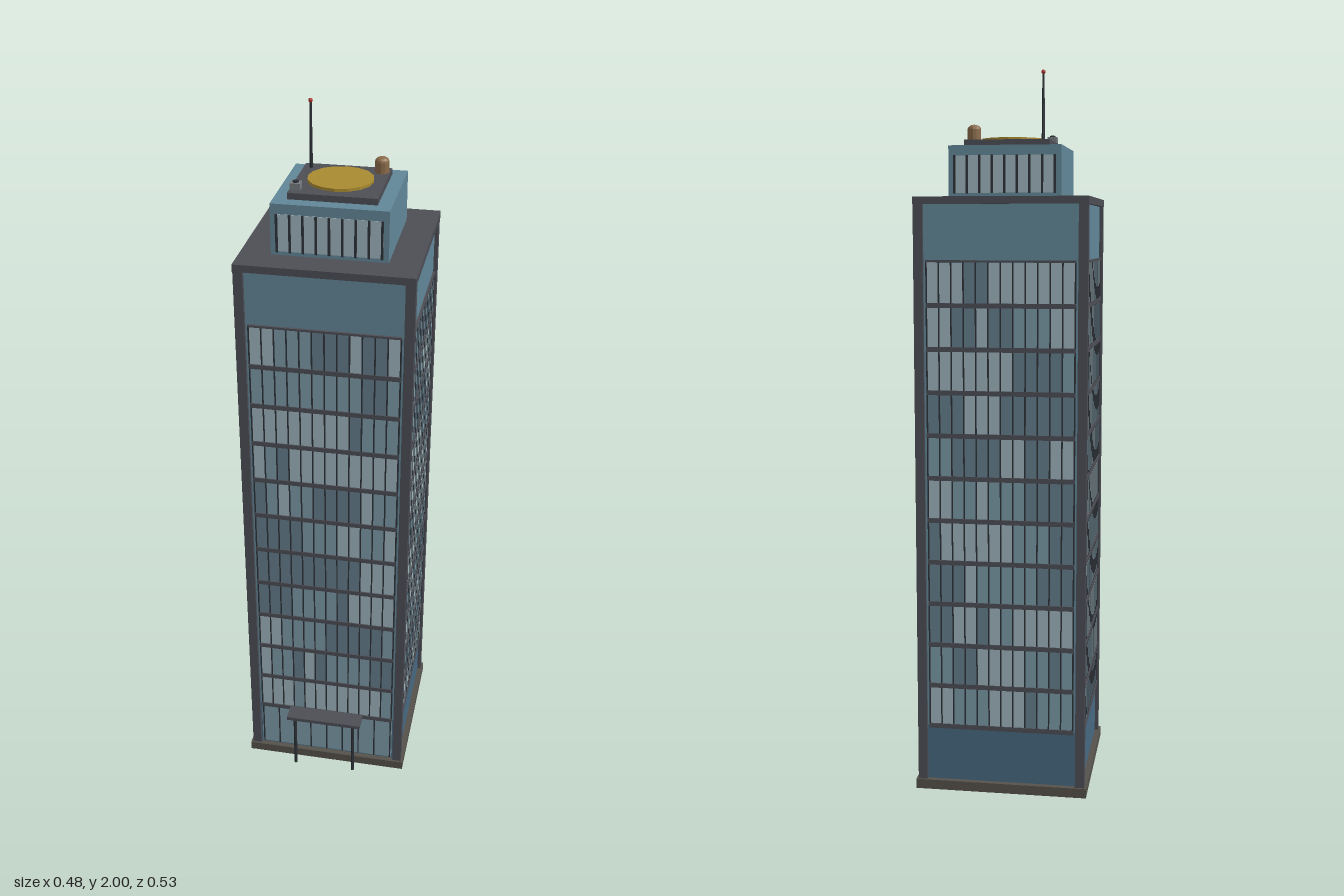
import * as THREE from 'three';
import { mergeGeometries } from 'three/addons/utils/BufferGeometryUtils.js';

const CZ = -0.022; // tower axis, set back to leave room for the canopy

const mat = (color) => new THREE.MeshStandardMaterial({ color, flatShading: true });
const mats = {
  frame: mat(0x4c4e55), dark: mat(0x2c3036), stone: mat(0x55514b), glass: mat(0x628798),
  lobby: mat(0x466880), pad: mat(0xa88a30), wood: mat(0x8a6b4a), red: mat(0xb03028), vent: mat(0x777b80),
};
const paneMats = [mat(0x9db4bc), mat(0x7b9aa7), mat(0x637d8b)];

// Box geometry given by size and centre
const boxGeo = (w, h, d, x, y, z) => new THREE.BoxGeometry(w, h, d).translate(x, y, z);

function add(parent, name, geometry, material) {
  const mesh = new THREE.Mesh(geometry, material);
  mesh.name = name;
  parent.add(mesh);
  return mesh;
}

// Small seeded generator for the pane tints
function seeded(seed) {
  let s = seed;
  return () => (s = (s * 16807) % 2147483647) / 2147483647;
}

// One curtain wall, built facing +z around the tower axis
function createFacade(seed, isFront) {
  const facade = new THREE.Group();
  facade.name = 'facade';
  const rows = 11, cols = 12, y0 = 0.185, rowH = 0.1184, width = 0.404, colW = width / cols;
  const rand = seeded(seed);
  const panes = [[], [], []], mullions = [], bands = [];

  for (let r = 0; r < rows; r++) {
    let tone = 0;
    for (let c = 0; c < cols; c++) {
      // neighbouring panes often share a tint
      if (c === 0 || rand() < 0.45) tone = Math.floor(rand() * 3);
      const x = -width / 2 + (c + 0.5) * colW;
      panes[tone].push(boxGeo(colW - 0.004, rowH - 0.008, 0.004, x, y0 + (r + 0.5) * rowH, 0.2275));
    }
  }
  for (let c = 0; c <= cols; c++) {
    mullions.push(boxGeo(0.004, rows * rowH, 0.005, -width / 2 + c * colW, y0 + rows * rowH / 2, 0.2285));
  }
  for (let r = 0; r <= rows; r++) {
    bands.push(boxGeo(width + 0.004, r === rows ? 0.006 : 0.013, 0.007, 0, y0 + r * rowH, 0.2295));
  }
  panes.forEach((list, i) => add(facade, 'windowPanes', mergeGeometries(list), paneMats[i]));
  add(facade, 'mullions', mergeGeometries(mullions), mats.dark);
  add(facade, 'floorBands', mergeGeometries(bands), mats.frame);

  // Entrance glazing
  if (isFront) {
    add(facade, 'lobbyGlass', boxGeo(0.41, 0.145, 0.003, 0, 0.105, 0.2275), paneMats[1]);
    const bars = [];
    for (let i = 0; i <= 8; i++) bars.push(boxGeo(0.004, 0.145, 0.005, -0.2 + i * 0.05, 0.105, 0.2285));
    add(facade, 'lobbyMullions', mergeGeometries(bars), mats.dark);
  }
  return facade;
}

function createPenthouse() {
  const penthouse = new THREE.Group();
  penthouse.name = 'penthouse';
  add(penthouse, 'penthouseBody', boxGeo(0.308, 0.14, 0.308, 0, 1.727, 0), mats.glass);
  for (const side of [1, -1]) {
    const fins = [];
    for (let i = -4; i <= 4; i++) fins.push(boxGeo(0.006, 0.102, 0.004, i * 0.0342, 1.72, side * 0.159));
    add(penthouse, 'penthouseFins', mergeGeometries(fins), mats.dark);
    add(penthouse, 'penthouseGlass', boxGeo(0.28, 0.1, 0.002, 0, 1.72, side * 0.1545), paneMats[0]);
  }
  return penthouse;
}

function createRooftop() {
  const roof = new THREE.Group();
  roof.name = 'rooftop';
  add(roof, 'padDeck', boxGeo(0.234, 0.017, 0.234, 0, 1.8055, 0), mats.frame);
  add(roof, 'landingPad', new THREE.CylinderGeometry(0.0875, 0.0875, 0.008, 16).translate(0, 1.818, 0), mats.pad);

  // Water tank with a domed lid
  const tank = new THREE.Group();
  tank.name = 'waterTank';
  tank.position.set(0.095, 1.81, -0.083);
  add(tank, 'tankBody', new THREE.CylinderGeometry(0.019, 0.019, 0.034, 12).translate(0, 0.017, 0), mats.wood);
  add(tank, 'tankLid', new THREE.SphereGeometry(0.019, 12, 4, 0, Math.PI * 2, 0, Math.PI / 2)
    .scale(1, 0.65, 1).translate(0, 0.034, 0), mats.wood);
  roof.add(tank);

  // Antenna mast with a warning light
  add(roof, 'antenna', new THREE.CylinderGeometry(0.003, 0.0045, 0.182, 8).translate(-0.096, 1.903, -0.084), mats.dark);
  add(roof, 'warningLight', new THREE.SphereGeometry(0.006, 8, 6).translate(-0.096, 1.994, -0.084), mats.red);

  // Ventilation unit
  add(roof, 'ventBox', boxGeo(0.027, 0.02, 0.027, -0.101, 1.822, 0.083), mats.vent);
  add(roof, 'ventFan', new THREE.CylinderGeometry(0.008, 0.008, 0.004, 10).translate(-0.101, 1.834, 0.083), mats.dark);
  return roof;
}

function createCanopy() {
  const canopy = new THREE.Group();
  canopy.name = 'entranceCanopy';
  add(canopy, 'canopyRoof', boxGeo(0.226, 0.011, 0.058, 0, 0.187, 0.233), mats.frame);
  for (const side of [1, -1]) {
    add(canopy, 'canopyPost', new THREE.CylinderGeometry(0.005, 0.005, 0.183, 8)
      .translate(side * 0.09, 0.0915, 0.25), mats.dark);
  }
  return canopy;
}

export function createModel() {
  const model = new THREE.Group();
  model.name = 'officeTower';

  const tower = new THREE.Group();
  tower.name = 'tower';
  tower.position.z = CZ;
  model.add(tower);

  // Plinth, lobby and shaft
  add(tower, 'plinth', boxGeo(0.484, 0.027, 0.484, 0, 0.0135, 0), mats.stone);
  add(tower, 'lobbyCore', boxGeo(0.452, 0.16, 0.452, 0, 0.105, 0), mats.lobby);
  add(tower, 'shaft', boxGeo(0.452, 1.46, 0.452, 0, 0.915, 0), mats.glass);

  // Corner columns and roof slab
  for (const x of [1, -1]) for (const z of [1, -1]) {
    add(tower, 'cornerColumn', boxGeo(0.026, 1.615, 0.026, x * 0.223, 0.8345, z * 0.223), mats.frame);
  }
  add(tower, 'roofSlab', boxGeo(0.474, 0.02, 0.474, 0, 1.649, 0), mats.frame);

  // Four curtain walls
  for (let i = 0; i < 4; i++) {
    const facade = createFacade(4211 + i * 977, i === 0);
    facade.rotation.y = i * Math.PI / 2;
    tower.add(facade);
  }

  tower.add(createPenthouse(), createRooftop());
  model.add(createCanopy());
  return model;
}
